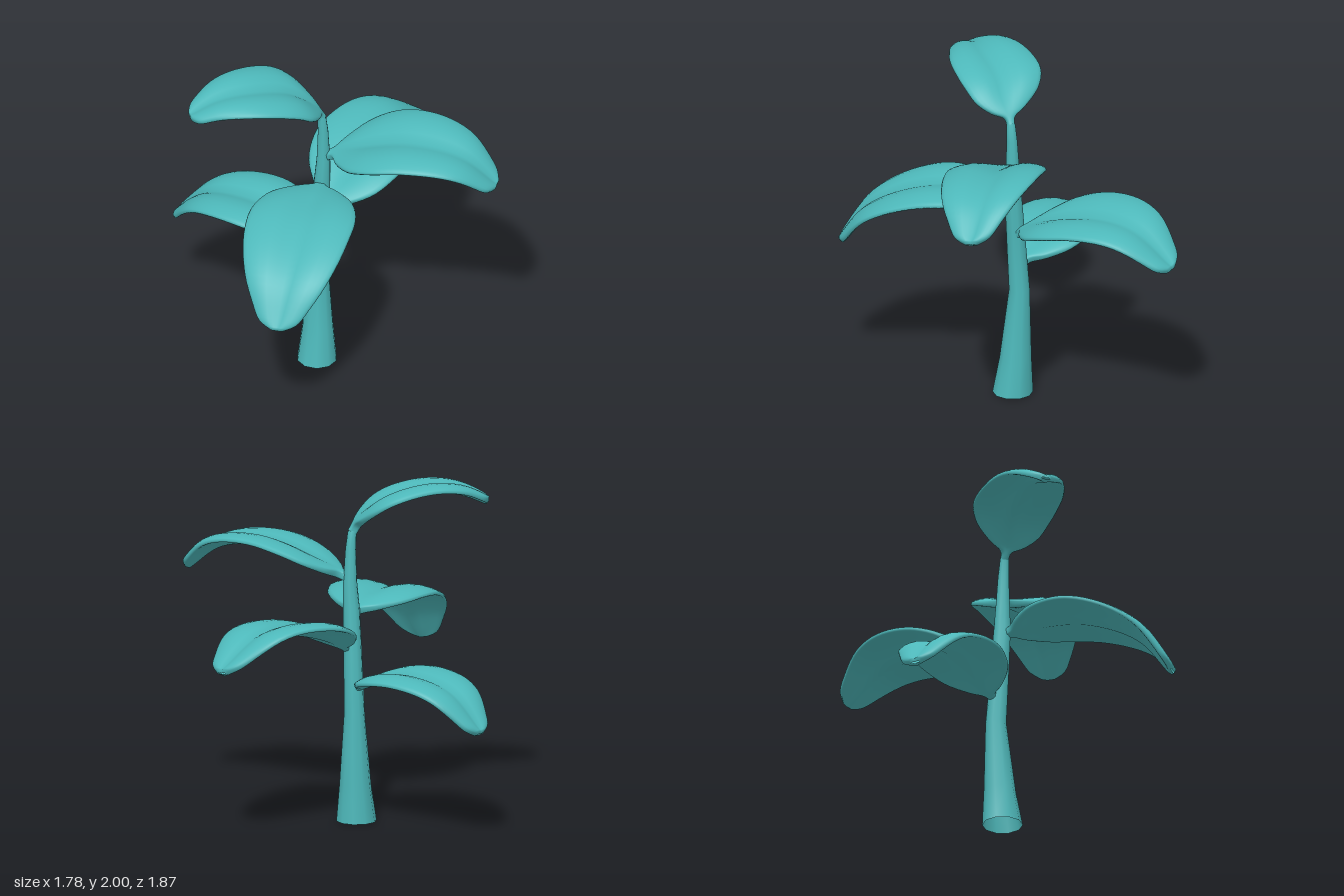
import * as THREE from 'three';

// Double-sided because the stem is open underneath
const teal = new THREE.MeshStandardMaterial({ color: 0x4db8ba, side: THREE.DoubleSide });

// Skin a list of closed rings; each ring runs counterclockwise around the growth direction
function loft(rings) {
  const n = rings[0].length, index = [];
  const pos = rings.flat().flatMap((p) => [p.x, p.y, p.z]);
  for (let i = 0; i < rings.length - 1; i++) {
    for (let j = 0; j < n; j++) {
      const k = (j + 1) % n;
      const a = i * n + j, b = i * n + k, c = (i + 1) * n + k, d = (i + 1) * n + j;
      index.push(a, b, c, a, c, d);
    }
  }
  const geo = new THREE.BufferGeometry();
  geo.setAttribute('position', new THREE.Float32BufferAttribute(pos, 3));
  geo.setIndex(index);
  geo.computeVertexNormals();
  return geo;
}

// Half width along every leaf: position, share of the full half width
const outline = new THREE.SplineCurve([
  [0, 0.09], [0.05, 0.14], [0.1, 0.44], [0.2, 0.8], [0.33, 0.98], [0.45, 1],
  [0.6, 0.93], [0.75, 0.77], [0.88, 0.54], [0.96, 0.36], [1, 0.1],
].map(([t, w]) => new THREE.Vector2(t, w))).getPoints(40);

// Leaf along a midrib; tilt raises one side, both halves bulge beside the crease
function leafGeometry({ rib, width, tilt, fold }) {
  const pts = rib.map((p) => new THREE.Vector3(...p));
  const curve = new THREE.CatmullRomCurve3(pts);
  const chord = pts[pts.length - 1].clone().sub(pts[0]);
  const side = new THREE.Vector3(chord.z, 0, -chord.x).normalize();
  side.y = tilt;
  const sides = 28;
  const rings = outline.map(({ x, y }, i) => {
    const t = THREE.MathUtils.clamp(x, 0, 1);
    const centre = curve.getPointAt(t);
    const normal = curve.getTangentAt(t).cross(side).normalize();
    const blade = THREE.MathUtils.smoothstep(t, 0.02, 0.3);
    const thick = i === outline.length - 1 ? 0.004 : THREE.MathUtils.lerp(0.028, 0.023, blade);
    return Array.from({ length: sides }, (_, j) => {
      const angle = (j / sides) * Math.PI * 2;
      const u = Math.cos(angle), s = Math.sin(angle), v = Math.abs(u);
      const lift = blade * (y * (fold * v + 0.028 * Math.sin(Math.PI * v)) - 0.006);
      const rim = thick * Math.sign(s) * Math.sqrt(Math.abs(s));
      return centre.clone().addScaledVector(side, u * y * width).addScaledVector(normal, lift + rim);
    });
  });
  return loft(rings);
}

const leaves = {
  topLeaf: {
    rib: [[0.043, 1.7, 0.11], [0.025, 1.78, 0.16], [-0.045, 1.885, 0.3], [-0.105, 1.94, 0.52], [-0.165, 1.93, 0.7], [-0.21, 1.865, 0.86]],
    width: 0.24, tilt: -0.08, fold: 0.015,
  },
  upperBackLeftSideLeaf: {
    rib: [[0.05, 1.43, 0.09], [0.2, 1.51, -0.04], [0.45, 1.595, -0.24], [0.68, 1.565, -0.42], [0.845, 1.41, -0.555]],
    width: 0.285, tilt: 0.11, fold: 0.025,
  },
  frontLeftSideLeaf: {
    rib: [[0.03, 1.22, 0.1], [0.18, 1.265, 0.28], [0.36, 1.25, 0.5], [0.56, 1.115, 0.73], [0.68, 0.88, 0.88]],
    width: 0.31, tilt: 0, fold: 0.012,
  },
  backRightSideLeaf: {
    rib: [[0.025, 1.02, 0.08], [-0.045, 1.115, -0.08], [-0.18, 1.215, -0.4], [-0.265, 1.21, -0.66], [-0.335, 1.055, -0.92]],
    width: 0.295, tilt: 0.11, fold: 0.03,
  },
  lowerRightSideLeaf: {
    rib: [[-0.02, 0.8, 0.1], [-0.2, 0.87, 0.165], [-0.45, 0.905, 0.285], [-0.68, 0.85, 0.39], [-0.865, 0.66, 0.48]],
    width: 0.265, tilt: 0, fold: 0.018,
  },
};

export function createModel() {
  const plant = new THREE.Group();
  plant.name = 'plant';
  const add = (name, geometry) => {
    const mesh = new THREE.Mesh(geometry, teal);
    mesh.name = name;
    plant.add(mesh);
  };

  // Tapered, gently leaning stem: height, centre x, centre z, radius
  const stem = [
    [0, 0.017, 0.125, 0.117], [0.22, 0.007, 0.112, 0.092], [0.65, -0.01, 0.098, 0.06],
    [1, 0.015, 0.1, 0.054], [1.25, 0.033, 0.1, 0.049], [1.4, 0.04, 0.096, 0.041],
    [1.6, 0.042, 0.1, 0.031], [1.7, 0.043, 0.11, 0.026], [1.76, 0.036, 0.135, 0.012],
  ];
  const sides = 10;
  add('stem', loft(stem.map(([y, x, z, r]) => Array.from({ length: sides }, (_, j) => {
    const a = (j / sides) * Math.PI * 2;
    return new THREE.Vector3(x + r * Math.cos(a), y, z - r * Math.sin(a));
  }))));

  for (const [name, spec] of Object.entries(leaves)) add(name, leafGeometry(spec));
  return plant;
}
